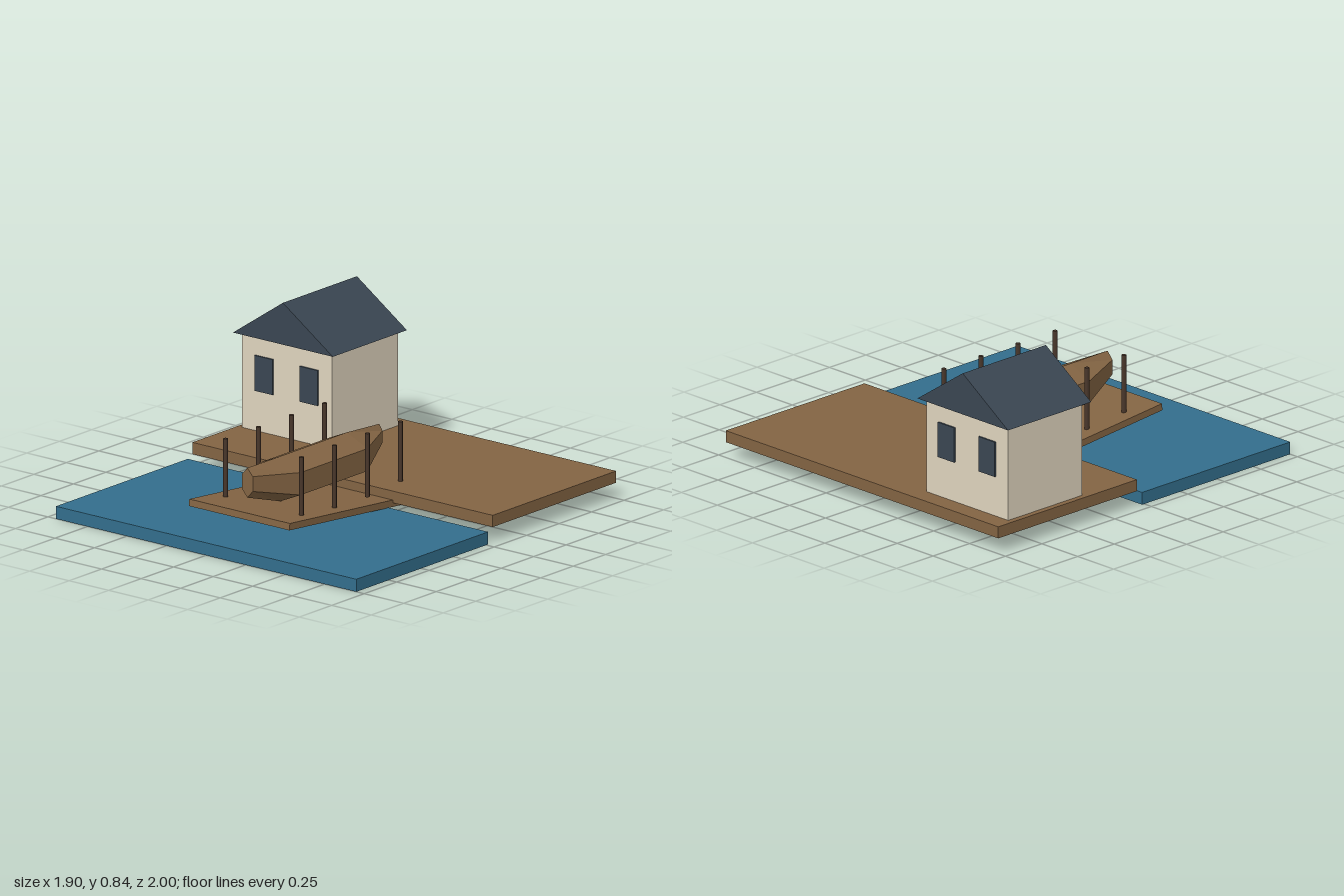
import * as THREE from 'three';

const mat = (name, color) => {
  const m = new THREE.MeshStandardMaterial({ color });
  m.name = name;
  return m;
};

export function createModel() {
  const model = new THREE.Group();
  model.name = 'boathouseDock';

  const wood = mat('wood', 0x836443);
  const darkWood = mat('darkWood', 0x49372b);
  const water = mat('water', 0x336e8c);
  const plaster = mat('plaster', 0xdfd4be);
  const slate = mat('slate', 0x3a4652);

  const add = (name, geometry, material, parent = model) => {
    const mesh = new THREE.Mesh(geometry, material);
    mesh.name = name;
    parent.add(mesh);
    return mesh;
  };
  // Box given by its min and max on each axis
  const box = (name, material, [x0, x1], [y0, y1], [z0, z1], parent) => {
    const mesh = add(name, new THREE.BoxGeometry(x1 - x0, y1 - y0, z1 - z0), material, parent);
    mesh.position.set((x0 + x1) / 2, (y0 + y1) / 2, (z0 + z1) / 2);
    return mesh;
  };

  // Water slab and shore deck
  box('water', water, [-0.95, 0.95], [0, 0.064], [-0.015, 1]);
  box('deck', wood, [-0.95, 0.95], [0.08, 0.14], [-1, -0.05]);

  // Sloping ramp, higher at the front
  const ramp = add('ramp', new THREE.BoxGeometry(0.636, 0.035, 1.142), wood);
  ramp.position.set(0, 0.0965, 0.175);
  ramp.rotation.x = -0.0873;

  // Two rows of posts
  const postGeometry = new THREE.CylinderGeometry(0.012, 0.012, 0.325, 8);
  for (const x of [-0.24, 0.24]) {
    for (let i = 0; i < 4; i++) {
      add('post', postGeometry, darkWood).position.set(x, 0.2825, 0.558 - i * 0.254);
    }
  }

  // House walls
  const house = new THREE.Group();
  house.name = 'house';
  model.add(house);
  box('walls', plaster, [-0.92, -0.35], [0.14, 0.63], [-0.902, -0.397], house);

  // Solid gable roof
  const gable = new THREE.Shape([
    new THREE.Vector2(-0.952, 0.626),
    new THREE.Vector2(-0.32, 0.626),
    new THREE.Vector2(-0.636, 0.84),
  ]);
  const roof = new THREE.ExtrudeGeometry(gable, { depth: 0.57, bevelEnabled: false });
  add('roof', roof, slate, house).position.z = -0.935;

  // Windows on front and back walls
  for (const x of [-0.778, -0.494]) {
    for (const z of [-0.397, -0.911]) {
      box('window', slate, [x - 0.057, x + 0.057], [0.346, 0.527], [z, z + 0.009], house);
    }
  }

  // Hexagonal boat hull: z, centre height, half height, half width
  const sections = [
    [-0.332, 0.292, 0.062, 0.021],
    [-0.083, 0.255, 0.115, 0.13],
    [0.43, 0.255, 0.115, 0.13],
    [0.682, 0.295, 0.076, 0.034],
  ];
  const ring = ([z, cy, h, w]) => Array.from({ length: 6 }, (_, i) => {
    const a = (i * Math.PI) / 3;
    return [-Math.sin(a) / Math.sin(Math.PI / 3) * w, cy + Math.cos(a) * h, z];
  });
  const rings = sections.map(ring);
  const points = [];
  for (let s = 0; s < 3; s++) {
    for (let i = 0; i < 6; i++) {
      const j = (i + 1) % 6;
      const [a, b, c, d] = [rings[s][i], rings[s][j], rings[s + 1][j], rings[s + 1][i]];
      points.push(...a, ...b, ...c, ...a, ...c, ...d);
    }
  }
  // End caps
  for (let i = 1; i < 5; i++) {
    points.push(...rings[0][0], ...rings[0][i + 1], ...rings[0][i]);
    points.push(...rings[3][0], ...rings[3][i], ...rings[3][i + 1]);
  }
  const hull = new THREE.BufferGeometry();
  hull.setAttribute('position', new THREE.Float32BufferAttribute(points, 3));
  hull.computeVertexNormals();
  add('boat', hull, wood);

  return model;
}
